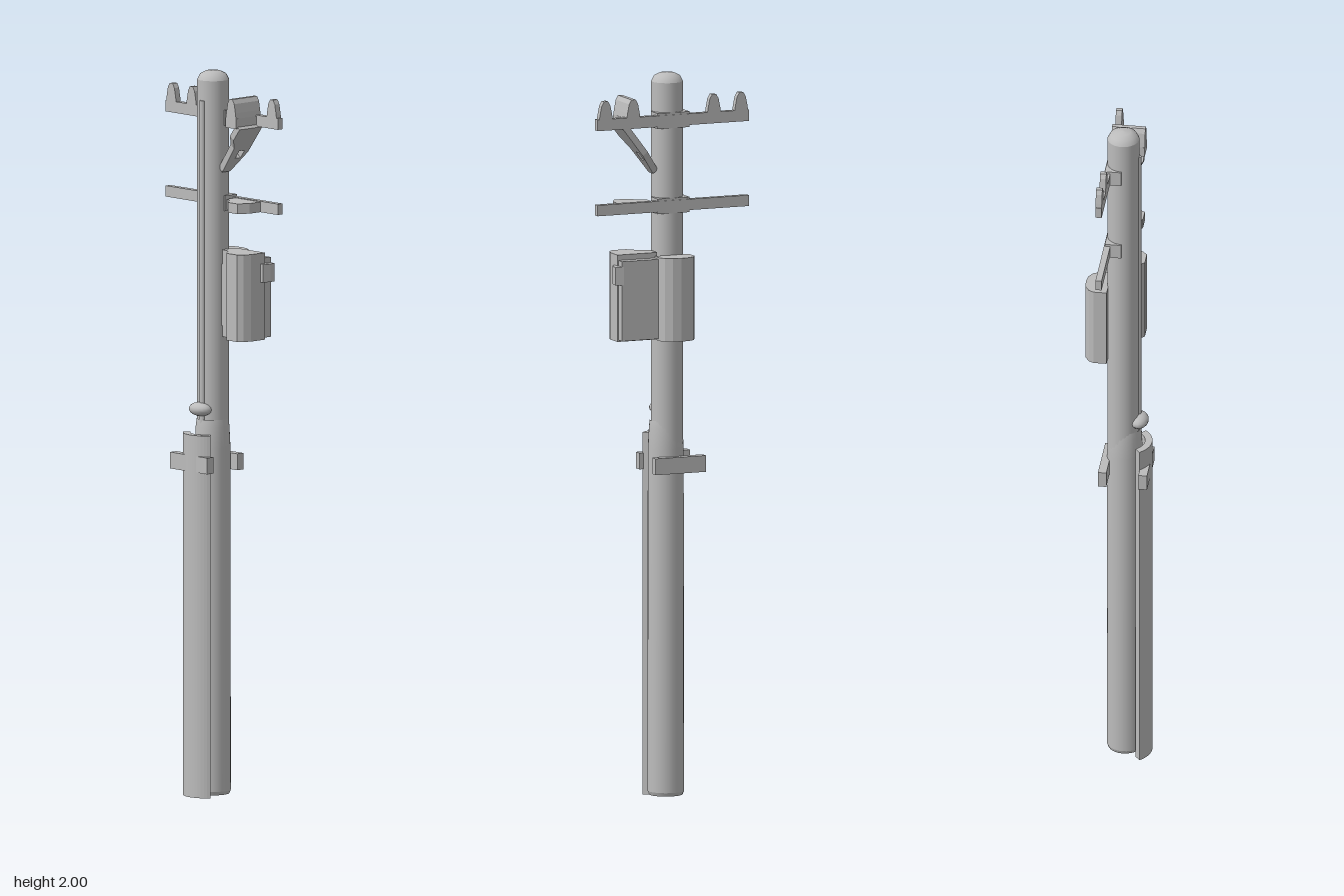
import * as THREE from 'three';

export function createModel() {
  const model = new THREE.Group();
  model.name = 'utilityPole';
  const grey = new THREE.MeshStandardMaterial({ color: 0xbcbcbc });
  grey.name = 'weathered grey';

  const add = (name, geometry) => {
    const mesh = new THREE.Mesh(geometry, grey);
    mesh.name = name;
    model.add(mesh);
    return mesh;
  };
  // box given by its extents on each axis
  const box = (name, x0, x1, y0, y1, z0, z1) =>
    add(name, new THREE.BoxGeometry(x1 - x0, y1 - y0, z1 - z0))
      .position.set((x0 + x1) / 2, (y0 + y1) / 2, (z0 + z1) / 2);
  const shapeOf = (pts) => new THREE.Shape(pts.map(([a, b]) => new THREE.Vector2(a, b)));
  // plan outline of (x, z) points raised from y0 to y1
  const prism = (name, plan, y0, y1) => {
    const g = new THREE.ExtrudeGeometry(shapeOf(plan.map(([x, z]) => [x, -z])),
      { depth: y1 - y0, bevelEnabled: false });
    g.rotateX(-Math.PI / 2);
    g.translate(0, y0, 0);
    return add(name, g);
  };
  const lathe = (name, pts, x, z) => {
    const mesh = add(name, new THREE.LatheGeometry(pts.map(([r, y]) => new THREE.Vector2(r, y)), 28));
    mesh.position.set(x, 0, z);
    return mesh;
  };

  // Pole: thick lower shaft, slimmer upper shaft with a domed top
  lathe('lowerPole', [[0, 0.005], [0.046, 0.005], [0.046, 0.005], [0.05, 0.015], [0.05, 0.015],
    [0.049, 0.96], [0.046, 1.02], [0.0435, 1.04]], 0, 0.014);
  lathe('upperPole', [[0.0435, 0.98], [0.0435, 1.975], [0.0435, 1.975], [0.036, 1.99],
    [0.02, 1.998], [0, 2]], -0.002, 0.01);
  const conduit = add('frontConduit', new THREE.CylinderGeometry(0.009, 0.009, 0.9, 10));
  conduit.position.set(0, 1.47, 0.05);

  // Curved guard in front of the lower shaft
  const arc = (r, from, to, n = 14) => Array.from({ length: n + 1 }, (_, i) => {
    const t = from + (to - from) * i / n;
    return [-0.008 + r * Math.sin(t), 0.017 + r * Math.cos(t)];
  });
  prism('frontGuard', [...arc(0.073, -0.9, 0.85), ...arc(0.053, 0.85, -0.9)], 0, 1);

  // Clamp bars holding the guard
  box('frontClampBar', -0.093, 0.057, 0.898, 0.943, 0.063, 0.087);
  box('backClampBar', -0.093, 0.057, 0.898, 0.943, -0.048, -0.025);

  // Small fitting just above the guard
  const fitting = add('eyeFitting', new THREE.SphereGeometry(1, 16, 10));
  fitting.scale.set(0.037, 0.019, 0.026);
  fitting.position.set(-0.006, 1.068, 0.054);

  // Crossarms
  for (const [name, y0, y1] of [['upperCrossarm', 1.857, 1.888], ['lowerCrossarm', 1.622, 1.652]]) {
    box(name, -0.225, 0.225, y0, y1, -0.037, -0.02);
    box(name + 'Bracket', -0.05, 0.046, y0 - 0.006, y1 + 0.006, -0.035, 0.01);
  }

  // Insulators: bell outlines; the third one runs forward as a long trough
  for (const [x, z1] of [[-0.203, -0.02], [-0.122, -0.02], [0.118, 0.055], [0.2, -0.02]]) {
    const outline = shapeOf([[-0.021, 1.88], [0.021, 1.88], [0.018, 1.9], [0.013, 1.925],
      [0.006, 1.937], [-0.006, 1.937], [-0.013, 1.925], [-0.018, 1.9]]);
    const g = new THREE.ExtrudeGeometry(outline, { depth: z1 + 0.037, bevelEnabled: false });
    add('insulator', g).position.set(x, 0, -0.037);
  }
  box('insulatorBase', 0.097, 0.139, 1.857, 1.885, -0.03, 0.055);

  // Sloping brace plate with a hole, narrow at the pole and wide at the arm
  const plate = shapeOf([[0, -0.008], [0.07, -0.035], [0.165, -0.035], [0.165, 0.05],
    [0.125, 0.05], [0.09, 0.028], [0, 0.022]]);
  plate.holes.push(new THREE.Path([[0.05, -0.018], [0.05, 0.002], [0.078, 0.002], [0.078, -0.018]]
    .map(([a, b]) => new THREE.Vector2(a, b))));
  const plateGeo = new THREE.ExtrudeGeometry(plate, { depth: 0.018, bevelEnabled: false });
  const a = 0.92, c = Math.cos(a), s = Math.sin(a);
  plateGeo.applyMatrix4(new THREE.Matrix4().makeBasis(
    new THREE.Vector3(c, s, 0), new THREE.Vector3(0, 0, 1), new THREE.Vector3(s, -c, 0))
    .setPosition(0.033, 1.735, 0));
  add('bracePlate', plateGeo);

  // Switch block on the lower crossarm
  prism('switchBlock', [[0.055, -0.03], [0.155, -0.03], [0.155, 0.02], [0.138, 0.05],
    [0.1, 0.05], [0.075, 0.02], [0.055, 0.012]], 1.622, 1.65);

  // Transformer behind the pole
  prism('backTransformer', [[-0.05, -0.03], [-0.05, -0.066], [-0.043, -0.08], [-0.025, -0.091],
    [0, -0.094], [0.025, -0.091], [0.043, -0.08], [0.052, -0.062], [0.052, -0.03]], 1.27, 1.5);

  // Transformer beside the pole, with a rear housing and a side bushing
  prism('sideTransformer', [[0.045, -0.03], [0.163, -0.03], [0.163, 0.022], [0.155, 0.042],
    [0.142, 0.055], [0.1, 0.055], [0.086, 0.04], [0.075, 0.025], [0.045, 0.018]], 1.27, 1.51);
  box('sideTransformerRear', 0.045, 0.16, 1.275, 1.495, -0.055, -0.025);
  prism('sideBushing', [[0.155, -0.056], [0.178, -0.052], [0.178, -0.036], [0.172, -0.015],
    [0.155, -0.012]], 1.43, 1.48);
  box('transformerHanger', 0.03, 0.075, 1.3, 1.47, -0.02, 0.018);

  return model;
}
